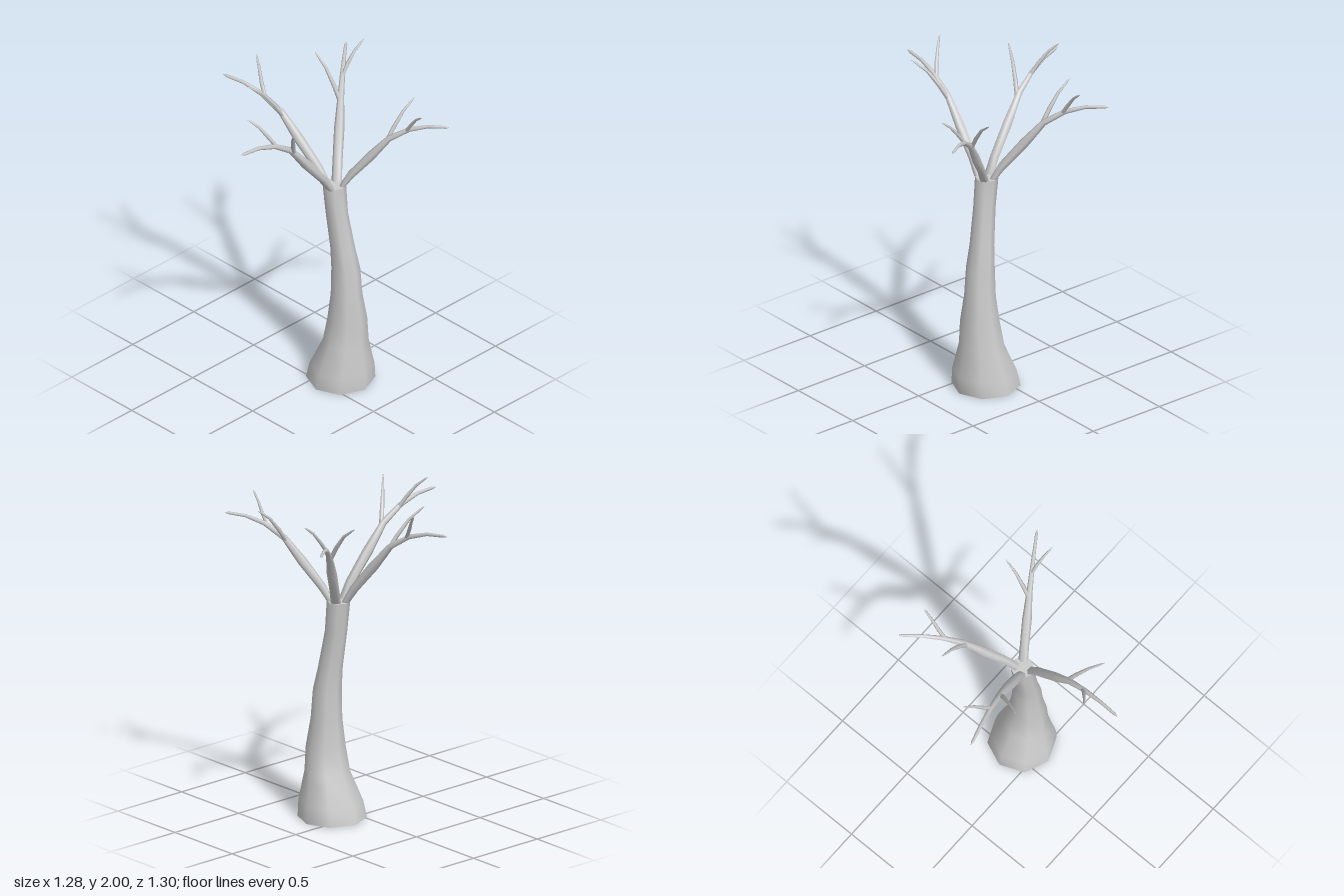
import * as THREE from 'three';

const material = new THREE.MeshStandardMaterial({ color: 0xcccccc });

// Lofts round cross-sections [x, y, z, radius, radiusZ?] along a path, capped at both ends.
// firstFlat keeps the first ring horizontal; allFlat keeps every ring horizontal.
function loft(name, stations, sides, { firstFlat = false, allFlat = false } = {}) {
  const centres = stations.map(([x, y, z]) => new THREE.Vector3(x, y, z));
  const last = centres.length - 1;
  const positions = [];
  const index = [];
  centres.forEach((c, i) => {
    const t = centres[Math.min(i + 1, last)].clone().sub(centres[Math.max(i - 1, 0)]).normalize();
    if (allFlat || (firstFlat && i === 0)) t.set(0, 1, 0);
    const u = new THREE.Vector3(1, 0, 0);
    u.addScaledVector(t, -t.x).normalize();
    const v = t.clone().cross(u);
    const [, , , ru, rv = ru] = stations[i];
    for (let j = 0; j < sides; j++) {
      const a = (j / sides) * Math.PI * 2;
      const p = c.clone().addScaledVector(u, Math.cos(a) * ru).addScaledVector(v, Math.sin(a) * rv);
      positions.push(p.x, p.y, p.z);
    }
  });
  for (let i = 0; i < last; i++) {
    for (let j = 0; j < sides; j++) {
      const a = i * sides + j;
      const b = i * sides + ((j + 1) % sides);
      index.push(a, b, a + sides, b, b + sides, a + sides);
    }
  }
  // End caps own their vertices so the rims stay sharp
  for (const [ring, flip] of [[0, true], [last, false]]) {
    const start = positions.length / 3;
    positions.push(...positions.slice(ring * sides * 3, (ring + 1) * sides * 3));
    positions.push(...centres[ring].toArray());
    for (let j = 0; j < sides; j++) {
      const a = start + j;
      const b = start + ((j + 1) % sides);
      index.push(start + sides, flip ? b : a, flip ? a : b);
    }
  }
  const geometry = new THREE.BufferGeometry();
  geometry.setAttribute('position', new THREE.Float32BufferAttribute(positions, 3));
  geometry.setIndex(index);
  geometry.computeVertexNormals();
  const mesh = new THREE.Mesh(geometry, material);
  mesh.name = name;
  return mesh;
}

// One bough growing towards local +z, with two upturned twigs
function makeBranch() {
  const branch = new THREE.Group();
  branch.name = 'branch';
  branch.add(
    loft('bough', [
      [0, 0, 0, 0.031, 0.022],
      [0, 0.09, 0.055, 0.03, 0.026],
      [0, 0.25, 0.185, 0.031],
      [0, 0.4, 0.305, 0.02],
      [0, 0.485, 0.435, 0.015],
      [0, 0.525, 0.56, 0.011],
      [0, 0.534, 0.672, 0.009],
      [0, 0.535, 0.695, 0.002],
    ], 6, { firstFlat: true }),
    loft('lowerTwig', [
      [0, 0.37, 0.285, 0.014],
      [0.04, 0.46, 0.325, 0.014],
      [0.095, 0.555, 0.375, 0.01],
      [0.15, 0.61, 0.422, 0.006],
      [0.166, 0.625, 0.435, 0.002],
    ], 5),
    loft('upperTwig', [
      [0, 0.47, 0.415, 0.012],
      [-0.03, 0.54, 0.455, 0.012],
      [-0.07, 0.61, 0.495, 0.009],
      [-0.106, 0.65, 0.53, 0.006],
      [-0.118, 0.66, 0.541, 0.002],
    ], 5),
  );
  return branch;
}

export function createModel() {
  const tree = new THREE.Group();
  tree.name = 'bareTree';

  // Leaning trunk, flared at the foot
  tree.add(loft('trunk', [
    [0.095, 0, -0.128, 0.203],
    [0.107, 0.1, -0.128, 0.193, 0.188],
    [0.133, 0.28, -0.133, 0.132, 0.135],
    [0.146, 0.43, -0.133, 0.116, 0.118],
    [0.143, 0.6, -0.13, 0.094, 0.092],
    [0.138, 0.78, -0.128, 0.084, 0.085],
    [0.12, 0.92, -0.12, 0.071, 0.074],
    [0.088, 1.15, -0.104, 0.067, 0.064],
    [0.069, 1.34, -0.102, 0.068, 0.07],
  ], 8, { allFlat: true }));

  // Branches fan out of the trunk top: start x, z and tip x, z
  const spread = [
    [0.088, -0.05, 0.053, 0.645],
    [0.03, -0.078, -0.64, 0.112],
    [0.05, -0.14, -0.397, -0.657],
    [0.11, -0.13, 0.64, -0.48],
  ];
  for (const [x0, z0, x1, z1] of spread) {
    const branch = makeBranch();
    branch.position.set(x0, 1.338, z0);
    branch.rotation.y = Math.atan2(x1 - x0, z1 - z0);
    branch.scale.setScalar(Math.hypot(x1 - x0, z1 - z0) / 0.695);
    tree.add(branch);
  }
  return tree;
}
